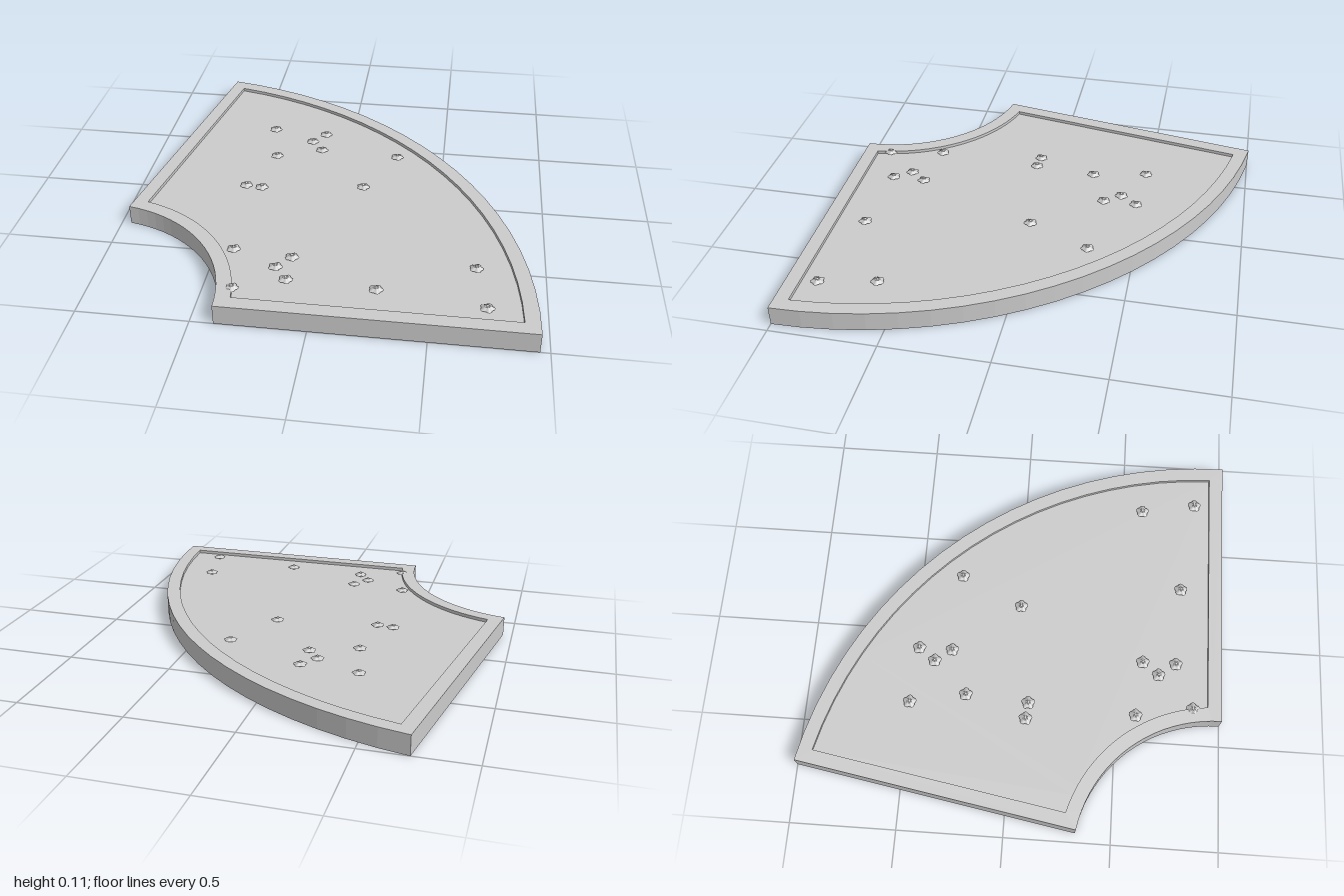
import * as THREE from 'three';

const SWEEP = THREE.MathUtils.degToRad(80);
const R_OUT = 2.031, R_IN = 0.677, BORDER = 0.067;
const CX = -1.074, CZ = 1; // centre of both arcs
const RIM_TOP = 0.094, BED_TOP = 0.078, SEGMENTS = 20;

// Outline of the ring sector, moved inwards by d on every side
function sectorPoints(d) {
  const points = [];
  const arc = (r, flip) => {
    const a = Math.asin(d / r);
    for (let i = 0; i <= SEGMENTS; i++) {
      const t = (flip ? SEGMENTS - i : i) / SEGMENTS;
      const angle = a + (SWEEP - 2 * a) * t;
      points.push(new THREE.Vector2(CX + r * Math.cos(angle), -CZ + r * Math.sin(angle)));
    }
  };
  arc(R_OUT - d, false);
  arc(R_IN + d, true);
  return points;
}

function slab(shape, height) {
  const geometry = new THREE.ExtrudeGeometry(shape, { depth: height, bevelEnabled: false });
  return geometry.rotateX(-Math.PI / 2);
}

// Low five-lobed dome
function petalGeometry() {
  const geometry = new THREE.CylinderGeometry(0.012, 0.03, 0.012, 30);
  const p = geometry.attributes.position;
  for (let i = 0; i < p.count; i++) {
    const x = p.getX(i), z = p.getZ(i);
    const k = 1 + 0.13 * Math.cos(5 * Math.atan2(z, x));
    p.setX(i, x * k);
    p.setZ(i, z * k);
  }
  geometry.computeVertexNormals();
  return geometry;
}

// Flower positions, x and z
const FLOWERS = [
  [-0.4, -0.49], [-0.125, -0.47], [-0.185, -0.39], [-0.125, -0.31], [-0.345, -0.225],
  [0.267, -0.29], [0.125, 0.01], [-0.445, 0.068], [-0.367, 0.076], [-0.394, 0.59],
  [-0.125, 0.617], [-0.185, 0.695], [-0.125, 0.777], [0.267, 0.795], [0.687, 0.593],
  [0.737, 0.857], [-0.345, 0.862],
];

export function createModel() {
  const model = new THREE.Group();
  model.name = 'curvedFlowerBed';
  const grey = new THREE.MeshStandardMaterial({ color: 0xcccccc });
  grey.name = 'grey';

  const add = (parent, name, geometry, y = 0) => {
    const mesh = new THREE.Mesh(geometry, grey);
    mesh.name = name;
    mesh.position.y = y;
    parent.add(mesh);
  };

  // Raised border around the sunken bed
  const border = new THREE.Shape(sectorPoints(0));
  border.holes.push(new THREE.Path(sectorPoints(BORDER)));
  add(model, 'border', slab(border, RIM_TOP));
  add(model, 'bed', slab(new THREE.Shape(sectorPoints(BORDER)), BED_TOP));

  // Small flowers: stem, petals and a round centre
  const stem = new THREE.CylinderGeometry(0.006, 0.006, 0.014, 8);
  const petals = petalGeometry();
  const centre = new THREE.SphereGeometry(0.007, 8, 6);
  FLOWERS.forEach(([x, z]) => {
    const flower = new THREE.Group();
    flower.name = 'flower';
    flower.position.set(x, BED_TOP, z);
    add(flower, 'stem', stem, 0.007);
    add(flower, 'petals', petals, 0.017);
    add(flower, 'flowerCentre', centre, 0.022);
    model.add(flower);
  });
  return model;
}
